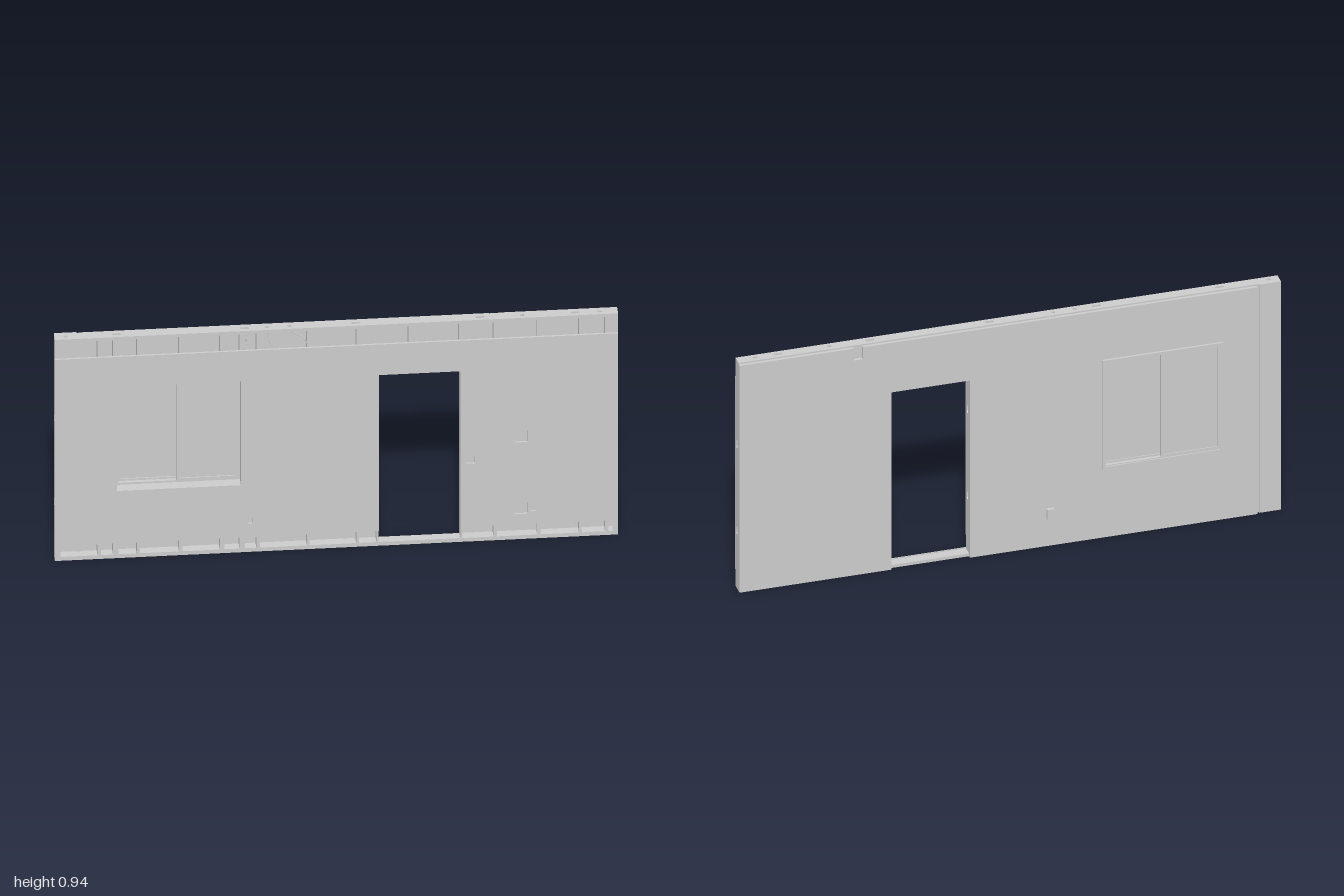
import * as THREE from 'three';

const material = new THREE.MeshStandardMaterial({ color: 0xcccccc });
const H = 0.94, FRONT = 0.033, FRAME_F = 0.026, FRAME_B = -0.013, BACK = -0.024;
const DOOR = [0.15, 0.44, 0.015, 0.73];
const WINDOW = [-0.78, -0.34, 0.29, 0.73];

function add(parent, name, geometry) {
  const mesh = new THREE.Mesh(geometry, material);
  mesh.name = name;
  parent.add(mesh);
  return mesh;
}

// Box from its limits on each axis
function block(parent, name, x0, x1, y0, y1, z0, z1) {
  const g = new THREE.BoxGeometry(x1 - x0, y1 - y0, z1 - z0);
  g.translate((x0 + x1) / 2, (y0 + y1) / 2, (z0 + z1) / 2);
  return add(parent, name, g);
}

function polygon(points, Type = THREE.Shape) {
  const s = new Type();
  points.forEach(([x, y], i) => (i ? s.lineTo(x, y) : s.moveTo(x, y)));
  s.closePath();
  return s;
}

const rect = (x0, x1, y0, y1, Type) => polygon([[x0, y0], [x1, y0], [x1, y1], [x0, y1]], Type);

// Upright slot with round ends
function slot(cx, cy, r, half) {
  const p = new THREE.Path();
  p.absarc(cx, cy + half, r, 0, Math.PI, false);
  p.absarc(cx, cy - half, r, Math.PI, Math.PI * 2, false);
  p.closePath();
  return p;
}

const extrude = (shape, depth) =>
  new THREE.ExtrudeGeometry(shape, { depth, bevelEnabled: false, curveSegments: 8 });

// Upright plate with service slots, running along y and thin in x
function stud(parent, name, x0, x1, y0, y1, z0 = FRAME_B, z1 = FRAME_F) {
  const shape = rect(-z1, -z0, y0, y1);
  for (const y of [0.24, 0.595]) {
    if (y - 0.03 > y0 && y + 0.03 < y1) shape.holes.push(slot(-0.008, y, 0.007, 0.01));
  }
  const g = extrude(shape, x1 - x0);
  g.rotateY(Math.PI / 2);
  g.translate(x0, 0, 0);
  return add(parent, name, g);
}

// Rectangular border in the xy plane
function border(parent, name, [x0, x1, y0, y1], w, z0, z1) {
  const shape = rect(x0, x1, y0, y1);
  shape.holes.push(rect(x0 + w, x1 - w, y0 + w, y1 - w, THREE.Path));
  const g = extrude(shape, z1 - z0);
  g.translate(0, 0, z0);
  return add(parent, name, g);
}

function createModel() {
  const wall = new THREE.Group();
  wall.name = 'wallPanel';

  // Front sheet, short of the top and bottom rails, with openings and sockets
  const outlets = [
    [0.655, 0.44, 0.045, 0.048], [0.475, 0.35, 0.032, 0.028], [0.655, 0.135, 0.045, 0.048],
    [0.697, 0.135, 0.018, 0.028], [-0.308, 0.137, 0.018, 0.024],
  ];
  const front = polygon([
    [-1, 0.067], [DOOR[0], 0.067], [DOOR[0], DOOR[3]], [DOOR[1], DOOR[3]],
    [DOOR[1], 0.067], [1, 0.067], [1, 0.86], [-1, 0.86],
  ]);
  front.holes.push(rect(...WINDOW, THREE.Path));
  for (const [x, y, w, h] of outlets) {
    front.holes.push(rect(x - w / 2, x + w / 2, y - h / 2, y + h / 2, THREE.Path));
    block(wall, 'socketBox', x - w / 2 - 0.003, x + w / 2 + 0.003,
      y - h / 2 - 0.003, y + h / 2 + 0.003, 0.016, FRAME_F);
  }
  add(wall, 'frontSheet', extrude(front, FRONT - FRAME_F).translate(0, 0, FRAME_F));

  // Back sheet, cut for the door, the window and a notch at the top edge
  const top = 0.934;
  const back = polygon([
    [-0.912, 0], [DOOR[0], 0], [DOOR[0], DOOR[3]], [DOOR[1], DOOR[3]], [DOOR[1], 0],
    [1, 0], [1, top], [0.578, top], [0.578, 0.885], [0.545, 0.885], [0.545, top], [-0.912, top],
  ]);
  back.holes.push(rect(...WINDOW, THREE.Path));
  add(wall, 'backSheet', extrude(back, FRAME_B - BACK).translate(0, 0, BACK));
  block(wall, 'notchBacking', 0.54, 0.583, 0.88, 0.934, FRAME_B, FRAME_B + 0.002);

  // Recessed joint strip at the end of the back sheet
  block(wall, 'jointStrip', -1, -0.92, 0, H, -0.018, FRAME_B);
  block(wall, 'jointStripBacking', -0.925, -0.905, 0, H, FRAME_B, FRAME_B + 0.003);

  // Top and bottom rails; the top one has service holes
  const rail = rect(-1, 1, -FRAME_F, -FRAME_B);
  for (const x of [-0.96, -0.78, -0.325, -0.245, -0.165, 0.07, 0.51, 0.66, 0.85, 0.935]) {
    const w = [-0.78, -0.325, 0.07, 0.51, 0.85].includes(x) ? 0.015 : 0.007;
    rail.holes.push(rect(x - w, x + w, -0.013, -0.002, THREE.Path));
  }
  add(wall, 'topRail', extrude(rail, 0.009).rotateX(-Math.PI / 2).translate(0, H - 0.009, 0));
  block(wall, 'bottomRail', -1, 1, 0, 0.012, FRAME_B, FRAME_F);
  block(wall, 'topRailLip', -1, 1, H - 0.013, H, FRAME_F - 0.003, FRAME_F);
  block(wall, 'bottomRailLip', -1, 1, 0, 0.016, FRAME_F - 0.003, FRAME_F);

  // Studs as [x, width], cut where they meet the window or the door
  const studs = [
    [-0.842, 0.012], [-0.783, 0.02], [-0.703, 0.012], [-0.553, 0.012], [-0.406, 0.016],
    [-0.334, 0.02], [-0.278, 0.012], [-0.1, 0.009], [0.075, 0.009], [0.262, 0.012],
    [0.441, 0.012], [0.564, 0.012], [0.719, 0.012], [0.866, 0.009], [0.96, 0.012],
  ];
  for (const [x, w] of studs) {
    const gap = [WINDOW, DOOR].find(([a, b]) => x > a - 0.012 && x < b + 0.012);
    const spans = gap ? [[gap[3] + 0.008, H - 0.009]] : [[0.012, H - 0.009]];
    if (gap === WINDOW) spans.push([0.012, gap[2] - 0.008]);
    for (const [y0, y1] of spans) stud(wall, 'stud', x - w / 2, x + w / 2, y0, y1);
  }
  for (const s of [-1, 1]) {
    const x = s * 0.997;
    stud(wall, 'endStud', x - 0.003, x + 0.003, 0, H);
    const lip = s * 0.98;
    block(wall, 'endStudLip', Math.min(x, lip), Math.max(x, lip), 0, H, FRAME_F - 0.003, FRAME_F);
  }

  // Door lining
  stud(wall, 'doorJamb', DOOR[0] - 0.008, DOOR[0], 0.012, DOOR[3] + 0.008);
  stud(wall, 'doorJamb', DOOR[1], DOOR[1] + 0.008, 0.012, DOOR[3] + 0.008);
  block(wall, 'doorHead', DOOR[0], DOOR[1], DOOR[3], DOOR[3] + 0.008, FRAME_B, FRAME_F);

  // Window lining, outer flange and two sliding sashes at different depths
  const [wx0, wx1, wy0, wy1] = WINDOW;
  const win = new THREE.Group();
  win.name = 'slidingWindow';
  wall.add(win);
  border(win, 'windowLining', [wx0 - 0.008, wx1 + 0.008, wy0 - 0.008, wy1 + 0.008], 0.008, FRAME_B, FRAME_F);
  border(win, 'windowFrame', [wx0, wx1, wy0, wy1], 0.008, -0.028, -0.006);
  border(win, 'windowFlange', [wx0 - 0.003, wx1 + 0.003, wy0 - 0.008, wy1 + 0.002], 0.012, -0.032, BACK);
  const mid = -0.56;
  const sashes = [['outerSash', wx0 + 0.006, mid + 0.006, -0.028], ['innerSash', mid - 0.006, wx1 - 0.006, -0.016]];
  for (const [name, x0, x1, z] of sashes) {
    border(win, name, [x0, x1, wy0 + 0.006, wy1 - 0.006], 0.01, z, z + 0.01);
    block(win, name + 'Glass', x0 + 0.008, x1 - 0.008, wy0 + 0.014, wy1 - 0.014, z + 0.003, z + 0.006);
  }

  // Small box on the back
  block(wall, 'backBox', -0.158, -0.132, 0.115, 0.155, -0.036, BACK);

  // Cables in the top cavity
  const cables = [
    [[-0.325, 0.935, 0.01], [-0.32, 0.9, 0.022], [-0.325, 0.868, 0.034]],
    [[-0.245, 0.935, 0.01], [-0.24, 0.9, 0.018], [-0.22, 0.868, 0.03]],
    [[-0.25, 0.932, 0.012], [-0.17, 0.925, 0.016], [-0.12, 0.9, 0.022], [-0.1, 0.866, 0.024]],
  ];
  for (const points of cables) {
    const curve = new THREE.CatmullRomCurve3(points.map((p) => new THREE.Vector3(...p)));
    add(wall, 'cable', new THREE.TubeGeometry(curve, 16, 0.002, 6));
  }

  return wall;
}

export { createModel };
